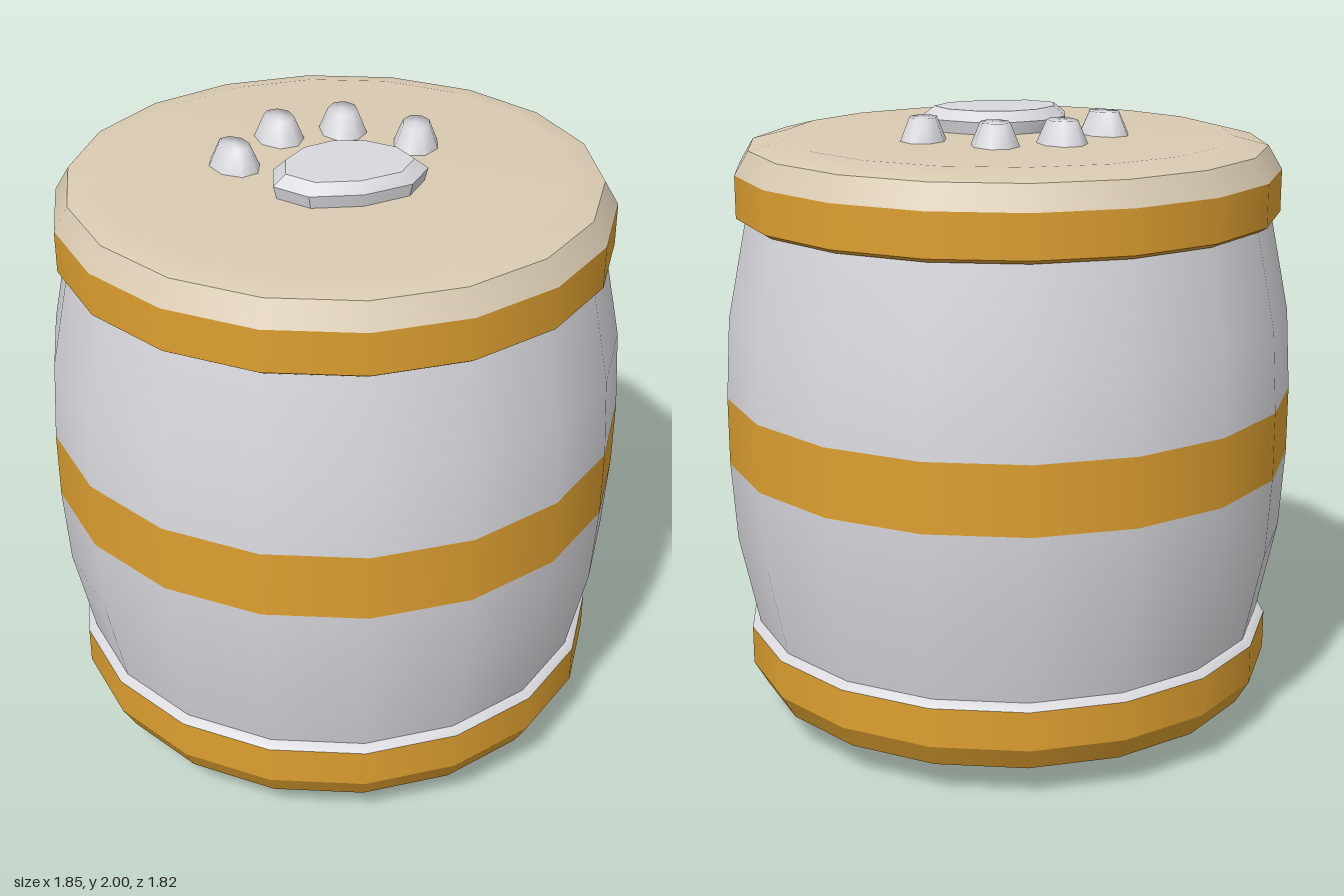
import * as THREE from 'three';
import { toCreasedNormals } from 'three/addons/utils/BufferGeometryUtils.js';

const SIDES = 18;

function makeMaterial(name, color) {
  const m = new THREE.MeshStandardMaterial({ color });
  m.name = name;
  return m;
}

// Ring of the barrel turned from [radius, height] points, listed bottom to top
function turned(name, points, material) {
  const profile = points.map(([r, y]) => new THREE.Vector2(r, y));
  const mesh = new THREE.Mesh(new THREE.LatheGeometry(profile, SIDES, Math.PI / 2), material);
  mesh.name = name;
  return mesh;
}

// Wide paw pad: a ten-sided outline with a bevelled top
function padGeometry() {
  const half = [[0, -0.06], [0.115, -0.03], [0.21, 0.06], [0.242, 0.18], [0.16, 0.278], [0, 0.31]];
  const outline = [...half, ...half.slice(1, -1).reverse().map(([x, z]) => [-x, z])];
  const cz = 0.13, n = outline.length, pos = [], index = [];
  for (const [scale, y] of [[0.95, 1.92], [1, 1.968], [0.83, 2]])
    for (const [x, z] of outline) pos.push(x * scale, y, cz + (z - cz) * scale);
  pos.push(0, 2, cz);
  for (let i = 0; i < n; i++) {
    const j = (i + 1) % n;
    for (let k = 0; k < 2; k++) {
      const a = k * n + i, b = k * n + j;
      index.push(a, a + n, b, b, a + n, b + n);
    }
    index.push(2 * n + i, 3 * n, 2 * n + j);
  }
  const g = new THREE.BufferGeometry();
  g.setAttribute('position', new THREE.Float32BufferAttribute(pos, 3));
  g.setIndex(index);
  return toCreasedNormals(g, 0.6);
}

// Raised paw print on the lid
function makePaw(name, material) {
  const paw = new THREE.Group();
  paw.name = name;
  const pad = new THREE.Mesh(padGeometry(), material);
  pad.name = 'pawPad';
  paw.add(pad);
  const toeGeo = toCreasedNormals(
    new THREE.CylinderGeometry(0.58, 1, 0.08, 8, 1, false, Math.PI / 8), 0.5);
  for (const side of [-1, 1]) {
    for (const [x, z, tilt, rx] of [[0.106, -0.265, 0.1, 0.08], [0.294, -0.092, 0.3, 0.077]]) {
      const toe = new THREE.Mesh(toeGeo, material);
      toe.name = 'pawToe';
      toe.position.set(side * x, 1.96, z);
      toe.rotation.y = -side * tilt;
      toe.scale.set(rx, 1, 0.104);
      paw.add(toe);
    }
  }
  return paw;
}

export function createModel() {
  const grey = makeMaterial('lightGrey', 0xd9d8dd);
  const gold = makeMaterial('gold', 0xdd9f30);
  const tan = makeMaterial('tan', 0xd9cab1);

  const barrel = new THREE.Group();
  barrel.name = 'barrel';

  barrel.add(
    // Bulging body and its middle stripe
    turned('lowerBody', [[0.845, 0.32], [0.91, 0.633], [0.926, 0.89]], grey),
    turned('middleStripe', [[0.926, 0.89], [0.926, 1.11]], gold),
    turned('upperBody', [[0.926, 1.11], [0.91, 1.37], [0.845, 1.69]], grey),

    // Bottom hoop with a pale upper lip
    turned('bottomHoopBevel', [[0.83, 0.109], [0.875, 0.188]], gold),
    turned('bottomHoop', [[0.875, 0.188], [0.875, 0.315]], gold),
    turned('bottomHoopLip', [[0.875, 0.315], [0.855, 0.334], [0.835, 0.334]], grey),
    turned('bottomLid', [[0, 0.082], [0.72, 0.082], [0.83, 0.109]], tan),

    // Top hoop and lid
    turned('topHoopLip', [[0.835, 1.677], [0.855, 1.677], [0.875, 1.69]], gold),
    turned('topHoop', [[0.875, 1.69], [0.875, 1.825]], gold),
    turned('topLidBevel', [[0.875, 1.825], [0.83, 1.9]], tan),
    turned('topLid', [[0.83, 1.9], [0.72, 1.928], [0, 1.928]], tan),
  );

  // The same paw on both ends, the lower one turned over
  barrel.add(makePaw('topPaw', grey));
  const bottomPaw = makePaw('bottomPaw', grey);
  bottomPaw.rotation.x = Math.PI;
  bottomPaw.position.y = 2;
  barrel.add(bottomPaw);

  return barrel;
}
